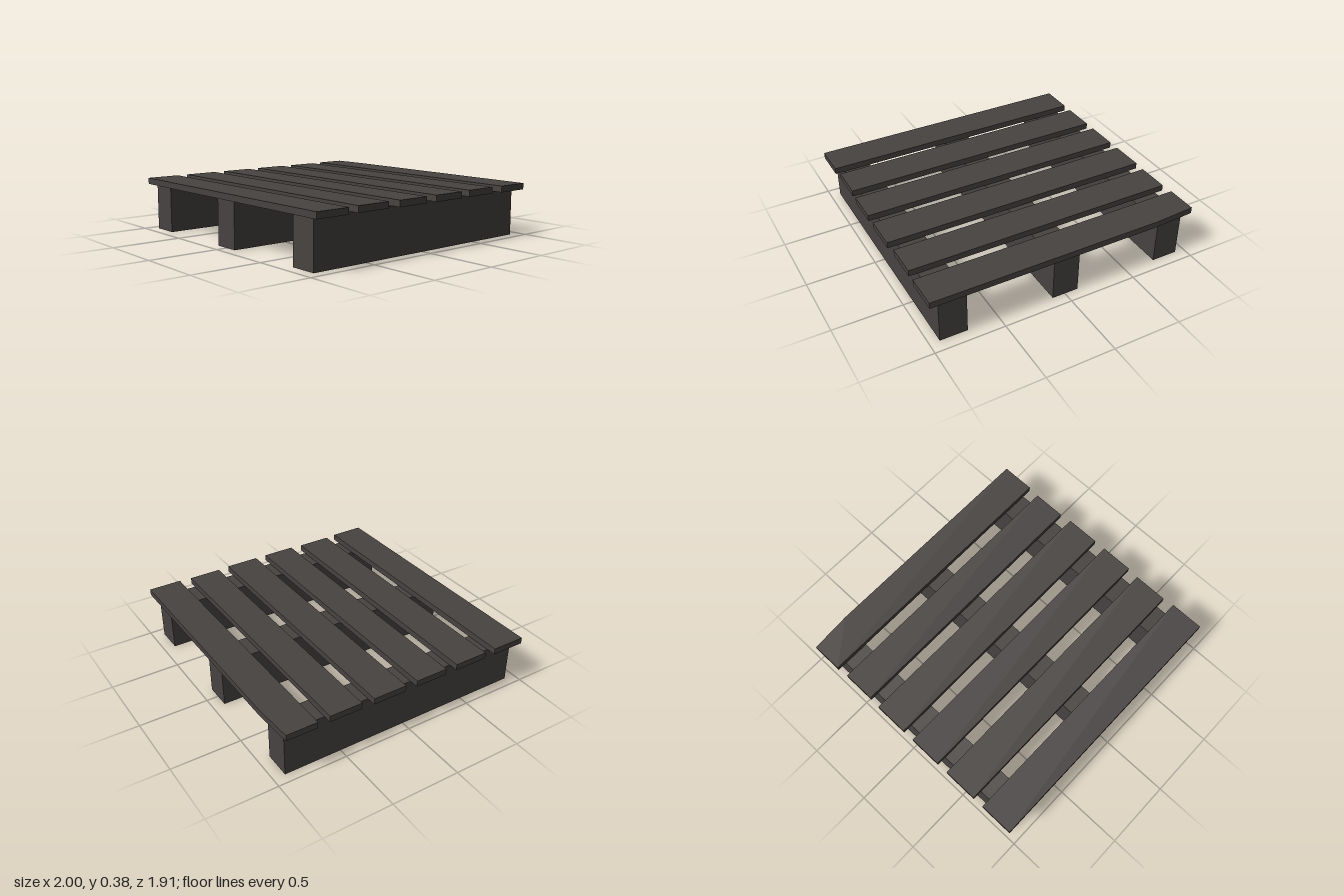
import * as THREE from 'three';

export function createModel() {
  const group = new THREE.Group();
  const wood = new THREE.MeshStandardMaterial({ color: 0x474341 });
  wood.name = 'dark wood';

  const BEAM_TOP = 0.335;
  const DECK_TOP = 0.38;

  // Box given by its extents on each axis
  function addBox(name, [x0, x1], [y0, y1], [z0, z1]) {
    const mesh = new THREE.Mesh(new THREE.BoxGeometry(x1 - x0, y1 - y0, z1 - z0), wood);
    mesh.position.set((x0 + x1) / 2, (y0 + y1) / 2, (z0 + z1) / 2);
    mesh.name = name;
    group.add(mesh);
  }

  // Three supporting beams running front to back
  [[-0.93, -0.735], [-0.1, 0.095], [0.73, 0.928]].forEach((x, i) =>
    addBox(`beam${i + 1}`, x, [0, BEAM_TOP], [-0.915, 0.92]));

  // Deck planks, slightly uneven in length and width: [x0, x1, z0, z1]
  [
    [-0.993, 0.99, -0.622, -0.383],
    [-1, 1, -0.295, -0.045],
    [-1, 1, 0.043, 0.285],
    [-1, 0.99, 0.373, 0.625],
    [-1, 1, 0.708, 0.956],
  ].forEach(([x0, x1, z0, z1], i) =>
    addBox(`plank${i + 2}`, [x0, x1], [BEAM_TOP, DECK_TOP], [z0, z1]));

  // Rear plank with a worn corner; outline is drawn in x and -z
  const outline = new THREE.Shape([
    [-1, 0.712], [1, 0.712], [1, 0.956], [-0.7, 0.956], [-1, 0.938],
  ].map(([x, y]) => new THREE.Vector2(x, y)));
  const rearGeometry = new THREE.ExtrudeGeometry(outline, {
    depth: DECK_TOP - BEAM_TOP, bevelEnabled: false,
  });
  rearGeometry.rotateX(-Math.PI / 2);
  const rear = new THREE.Mesh(rearGeometry, wood);
  rear.position.y = BEAM_TOP;
  rear.name = 'plank1';
  group.add(rear);

  return group;
}
